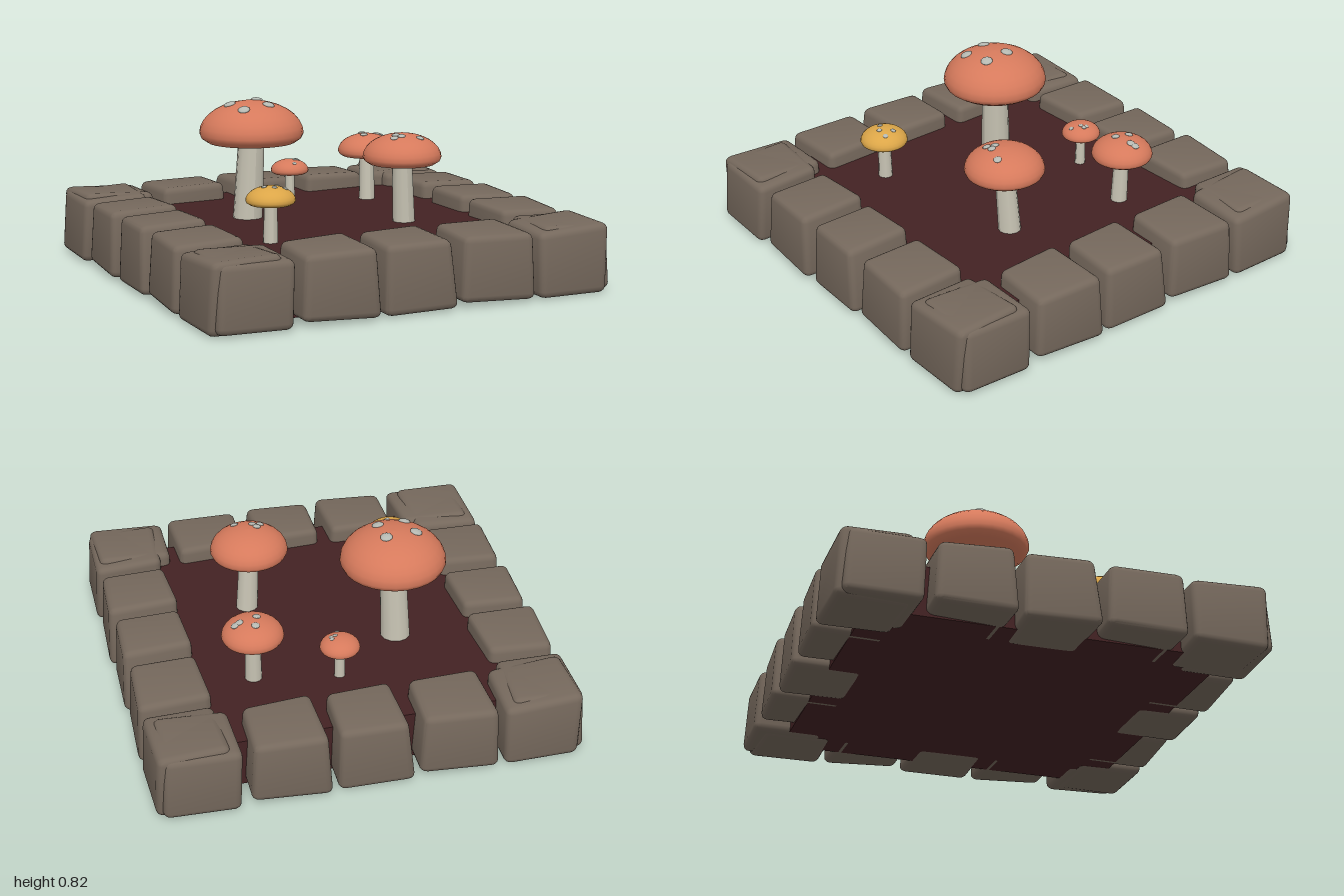
import * as THREE from 'three';
import { toCreasedNormals } from 'three/addons/utils/BufferGeometryUtils.js';
import { RoundedBoxGeometry } from 'three/addons/geometries/RoundedBoxGeometry.js';

const material = (name, color) => {
  const m = new THREE.MeshStandardMaterial({ color });
  m.name = name;
  return m;
};

// Rounded block whose outer face is the given quad: [x, y] of bottom-left, bottom-right, top-right, top-left
function stoneGeometry([bl, br, tr, tl], backZ, frontZ) {
  const geo = new RoundedBoxGeometry(1, 1, 1, 2, 0.1);
  const pos = geo.attributes.position;
  const mid = (bl[0] + br[0] + tr[0] + tl[0]) / 4;
  const mix = THREE.MathUtils.lerp;
  for (let i = 0; i < pos.count; i++) {
    const u = pos.getX(i) + 0.5, v = pos.getY(i) + 0.5, w = pos.getZ(i) + 0.5;
    const x = mix(mix(bl[0], br[0], u), mix(tl[0], tr[0], u), v);
    const y = mix(mix(bl[1], br[1], u), mix(tl[1], tr[1], u), v);
    const z = mix(mix(backZ[0], backZ[1], u), mix(frontZ[0], frontZ[1], u), w);
    // the inner face is slightly narrower and a touch higher
    pos.setXYZ(i, mid + (x - mid) * mix(0.95, 1, w), y + 0.012 * v * (1 - w), z - 0.015 * v * w);
  }
  return toCreasedNormals(geo, 0.6);
}

export function createModel() {
  const group = new THREE.Group();
  const stone = material('stone', 0x75685c);
  const soilMat = material('soil', 0x432223);
  const red = material('redCap', 0xd67a5c);
  const yellow = material('yellowCap', 0xdca648);
  const stemMat = material('stem', 0xc8c4b4);
  const spotMat = material('spot', 0xb6b9b2);

  const add = (parent, name, geo, mat, x = 0, y = 0, z = 0) => {
    const mesh = new THREE.Mesh(geo, mat);
    mesh.name = name;
    mesh.position.set(x, y, z);
    parent.add(mesh);
    return mesh;
  };

  // Soil bed
  add(group, 'soil', new THREE.BoxGeometry(1.64, 0.235, 1.64), soilMat, 0, 0.1295, 0);

  // One row of five uneven stones, turned to all four sides
  const row = [
    { quad: [[-0.965, 0.01], [-0.615, 0.005], [-0.6, 0.305], [-0.95, 0.31]], back: [0.64, 0.66], front: [0.985, 0.995] },
    { quad: [[-0.57, 0.025], [-0.2, 0.01], [-0.22, 0.32], [-0.55, 0.31]], back: [0.665, 0.65], front: [0.98, 1] },
    { quad: [[-0.175, 0.005], [0.18, 0.01], [0.145, 0.32], [-0.165, 0.315]], back: [0.665, 0.655], front: [0.98, 0.995] },
    { quad: [[0.2, 0.025], [0.57, 0.01], [0.56, 0.312], [0.22, 0.318]], back: [0.665, 0.65], front: [0.98, 1] },
    { quad: [[0.595, 0.005], [0.95, 0], [0.965, 0.32], [0.595, 0.3]], back: [0.66, 0.65], front: [0.995, 0.99] },
  ].map((s) => stoneGeometry(s.quad, s.back, s.front));
  for (let side = 0; side < 4; side++) {
    const border = new THREE.Group();
    border.name = 'stoneRow' + (side + 1);
    border.rotation.y = side * Math.PI / 2;
    row.forEach((geo, i) => add(border, 'stone' + (i + 1), geo, stone));
    group.add(border);
  }

  // Mushrooms: cap centre and size, stem foot and radius, spots as [x, z]
  const mushrooms = [
    { name: 'largeMushroom', mat: red, x: -0.295, z: -0.177, r: 0.247, low: 0.61, top: 0.81,
      foot: [-0.312, -0.195], stem: 0.072, spot: 0.029,
      spots: [[-0.4, -0.19], [-0.25, -0.215], [-0.38, -0.07], [-0.245, -0.09]] },
    { name: 'mediumMushroom', mat: red, x: 0.298, z: 0.225, r: 0.185, low: 0.525, top: 0.67,
      foot: [0.32, 0.208], stem: 0.054, spot: 0.019,
      spots: [[0.23, 0.275], [0.253, 0.245], [0.268, 0.275], [0.35, 0.305]] },
    { name: 'rearMushroom', mat: red, x: 0.42, z: -0.375, r: 0.143, low: 0.463, top: 0.575,
      foot: [0.418, -0.365], stem: 0.041, spot: 0.019,
      spots: [[0.415, -0.42], [0.395, -0.355], [0.48, -0.375], [0.502, -0.383]] },
    { name: 'smallMushroom', mat: red, x: 0.032, z: -0.452, r: 0.093, low: 0.39, top: 0.463,
      foot: [0.032, -0.448], stem: 0.026, spot: 0.011,
      spots: [[0.05, -0.435], [0.07, -0.455], [0.07, -0.438], [0.03, -0.392]] },
    { name: 'yellowMushroom', mat: yellow, x: -0.448, z: 0.375, r: 0.113, low: 0.42, top: 0.505,
      foot: [-0.448, 0.372], stem: 0.035, spot: 0.013,
      spots: [[-0.48, 0.375], [-0.442, 0.405], [-0.405, 0.35], [-0.39, 0.405]] },
  ];
  for (const m of mushrooms) {
    const g = new THREE.Group();
    g.name = m.name;
    group.add(g);

    // Cap: flat underside, rolled rim, elliptical dome
    const height = m.top - m.low, rim = height * 0.23, dome = height - rim;
    const profile = [[0, 0.04], [0.6, 0], [0.84, 0.02], [0.96, 0.12]].map(
      ([a, b]) => new THREE.Vector2(a * m.r, b * height));
    for (let i = 0; i <= 8; i++) {
      const t = (i / 8) * Math.PI / 2;
      profile.push(new THREE.Vector2(i === 8 ? 0 : m.r * Math.cos(t), rim + dome * Math.sin(t)));
    }
    add(g, 'cap', new THREE.LatheGeometry(profile, 28), m.mat, m.x, m.low, m.z);

    // Stem, sheared so that it leans from its foot to the cap
    const base = 0.2, length = m.low + 0.03 - base;
    const stemGeo = new THREE.CylinderGeometry(m.stem * 0.86, m.stem, length, 12, 4);
    const p = stemGeo.attributes.position;
    for (let i = 0; i < p.count; i++) {
      const t = p.getY(i) / length + 0.5;
      p.setX(i, p.getX(i) + (m.x - m.foot[0]) * t);
      p.setZ(i, p.getZ(i) + (m.z - m.foot[1]) * t);
    }
    stemGeo.computeVertexNormals();
    add(g, 'stem', stemGeo, stemMat, m.foot[0], base + length / 2, m.foot[1]);

    // Spots lying flat against the dome
    for (const [x, z] of m.spots) {
      const dx = (x - m.x) / m.r, dz = (z - m.z) / m.r;
      const k = Math.sqrt(1 - dx * dx - dz * dz);
      const spot = add(g, 'spot', new THREE.SphereGeometry(m.spot, 10, 8), spotMat, x, m.low + rim + dome * k, z);
      const normal = new THREE.Vector3(dx / m.r, k / dome, dz / m.r).normalize();
      spot.quaternion.setFromUnitVectors(new THREE.Vector3(0, 1, 0), normal);
      spot.scale.y = 0.4;
    }
  }
  return group;
}
